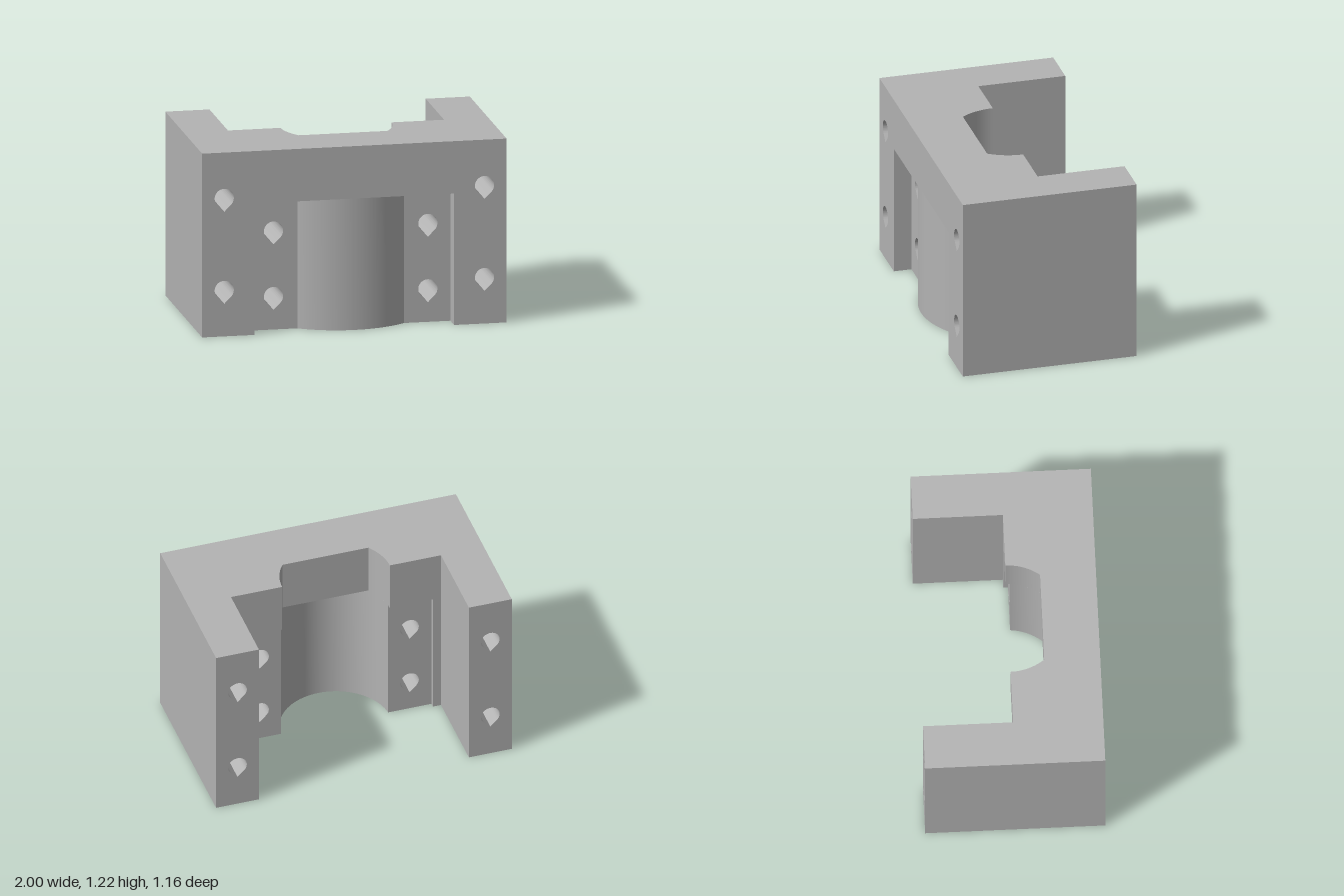
import * as THREE from 'three';
import { toCreasedNormals } from 'three/addons/utils/BufferGeometryUtils.js';

const HEIGHT = 1.217;    // full height
const LOW = 0.87;        // height of the lower, recessed section
const FRONT = 0.58;      // front face z (back of the legs is -FRONT)
const LEG_IN = 0.71;     // inner face of the legs
const POCKET = 0.655;    // half width of the pockets
const PAD_F = 0.462;     // front face of the flanges
const PAD_B = 0.03;      // back face of the flanges
const BORE = 0.364;      // bore radius
const RECESS = 0.22;     // flat wall above the bore

// Teardrop bolt hole, point downwards
function teardrop(x, y, r = 0.063) {
  const p = new THREE.Path();
  p.absarc(x, y, r, -Math.PI / 4, Math.PI * 1.25, false);
  p.lineTo(x, y - r * Math.SQRT2);
  p.closePath();
  return p;
}

function extrude(shape, depth) {
  return new THREE.ExtrudeGeometry(shape, { depth, bevelEnabled: false, curveSegments: 40 });
}

// Upright block running along z, drilled with teardrop holes
function drilledBlock(x0, x1, h, z0, z1, holes) {
  const s = new THREE.Shape([
    new THREE.Vector2(x0, 0), new THREE.Vector2(x1, 0),
    new THREE.Vector2(x1, h), new THREE.Vector2(x0, h),
  ]);
  s.holes = holes.map(([x, y]) => teardrop(x, y));
  return toCreasedNormals(extrude(s, z1 - z0).translate(0, 0, z0), 0.5);
}

// Plan outline (x, -z) raised along y
function raisedPlan(shape, y0, y1) {
  return toCreasedNormals(extrude(shape, y1 - y0).rotateX(-Math.PI / 2).translate(0, y0, 0), 0.5);
}

export function createModel() {
  const group = new THREE.Group();
  const grey = new THREE.MeshStandardMaterial({ color: 0xb3b3b3 });
  grey.name = 'plain grey';
  const add = (name, geometry) => {
    const mesh = new THREE.Mesh(geometry, grey);
    mesh.name = name;
    group.add(mesh);
  };

  const boreX = Math.sqrt(BORE ** 2 - PAD_B ** 2);
  const bulgeX = Math.sqrt(FRONT ** 2 - PAD_F ** 2);

  for (const [side, s] of [['left', 1], ['right', -1]]) {
    const span = (a, b) => (s > 0 ? [a, b] : [-b, -a]);
    // Full-height side leg
    add(side + 'Leg', drilledBlock(...span(LEG_IN, 1), HEIGHT, -FRONT, FRONT,
      [[s * 0.855, 0.914], [s * 0.855, 0.305]]));
    // Rib between leg and flange
    add(side + 'Rib', drilledBlock(...span(POCKET, LEG_IN), LOW, 0, FRONT, []));
    // Thin drilled flange
    add(side + 'Flange', drilledBlock(...span(boreX, POCKET), LOW, PAD_B, PAD_F,
      [[s * 0.507, 0.652], [s * 0.507, 0.219]]));
  }

  // Half-round housing around the bore
  const housing = new THREE.Shape();
  housing.moveTo(boreX, -PAD_B);
  housing.lineTo(boreX, -PAD_F);
  housing.lineTo(bulgeX, -PAD_F);
  housing.absarc(0, 0, FRONT, Math.atan2(-PAD_F, bulgeX), Math.atan2(-PAD_F, -bulgeX), true);
  housing.lineTo(-boreX, -PAD_F);
  housing.lineTo(-boreX, -PAD_B);
  housing.absarc(0, 0, BORE, Math.atan2(-PAD_B, -boreX), Math.atan2(-PAD_B, boreX), false);
  add('boreHousing', raisedPlan(housing, 0, LOW));

  // Bridge across the top, with the flat-bottomed recess
  const recessX = Math.sqrt(BORE ** 2 - RECESS ** 2);
  const bridge = new THREE.Shape();
  bridge.moveTo(-LEG_IN, -FRONT);
  bridge.lineTo(LEG_IN, -FRONT);
  bridge.lineTo(LEG_IN, 0);
  bridge.lineTo(BORE, 0);
  bridge.absarc(0, 0, BORE, 0, Math.atan2(-RECESS, recessX), true);
  bridge.lineTo(-recessX, -RECESS);
  bridge.absarc(0, 0, BORE, Math.atan2(-RECESS, -recessX), -Math.PI, true);
  bridge.lineTo(-LEG_IN, 0);
  bridge.closePath();
  add('topBridge', raisedPlan(bridge, LOW, HEIGHT));

  return group;
}
